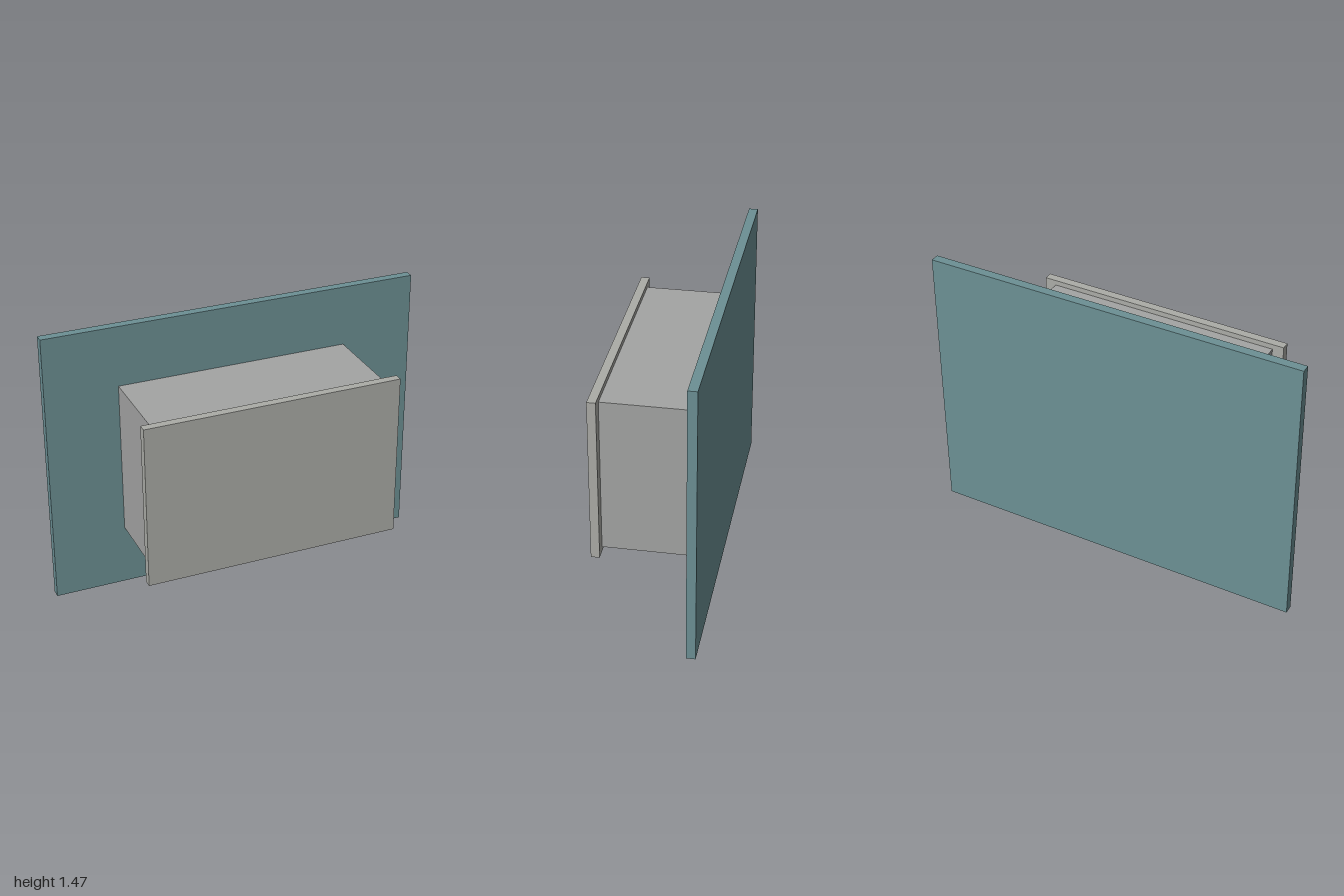
import * as THREE from 'three';

// Box given by its low and high corners
function box(name, material, [x0, y0, z0], [x1, y1, z1]) {
  const mesh = new THREE.Mesh(new THREE.BoxGeometry(x1 - x0, y1 - y0, z1 - z0), material);
  mesh.position.set((x0 + x1) / 2, (y0 + y1) / 2, (z0 + z1) / 2);
  mesh.name = name;
  return mesh;
}

export function createModel() {
  const model = new THREE.Group();
  model.name = 'wallCabinet';
  const paint = (color) => new THREE.MeshStandardMaterial({ color });
  const wallPaint = paint(0x6c9094);
  const bodyPaint = paint(0xa3a4a3);
  const doorPaint = paint(0xabaca7);
  const slatPaint = paint(0x86a4ae);

  // Backing wall, cabinet body and overhanging door
  model.add(
    box('wallPanel', wallPaint, [-1, 0, -0.287], [1, 1.467, -0.24]),
    box('cabinetBody', bodyPaint, [-0.617, 0.325, -0.24], [0.617, 1.145, 0.243]),
    box('door', doorPaint, [-0.676, 0.3, 0.243], [0.676, 1.172, 0.287]),
  );

  // Row of six slats under the body, running front to back
  const slats = new THREE.Group();
  slats.name = 'undersideSlats';
  for (let i = 0; i < 6; i++) {
    const x = (i - 2.5) * 0.186;
    slats.add(box('slat', slatPaint, [x - 0.025, 0.306, -0.198], [x + 0.025, 0.328, 0.195]));
  }
  model.add(slats);
  return model;
}
